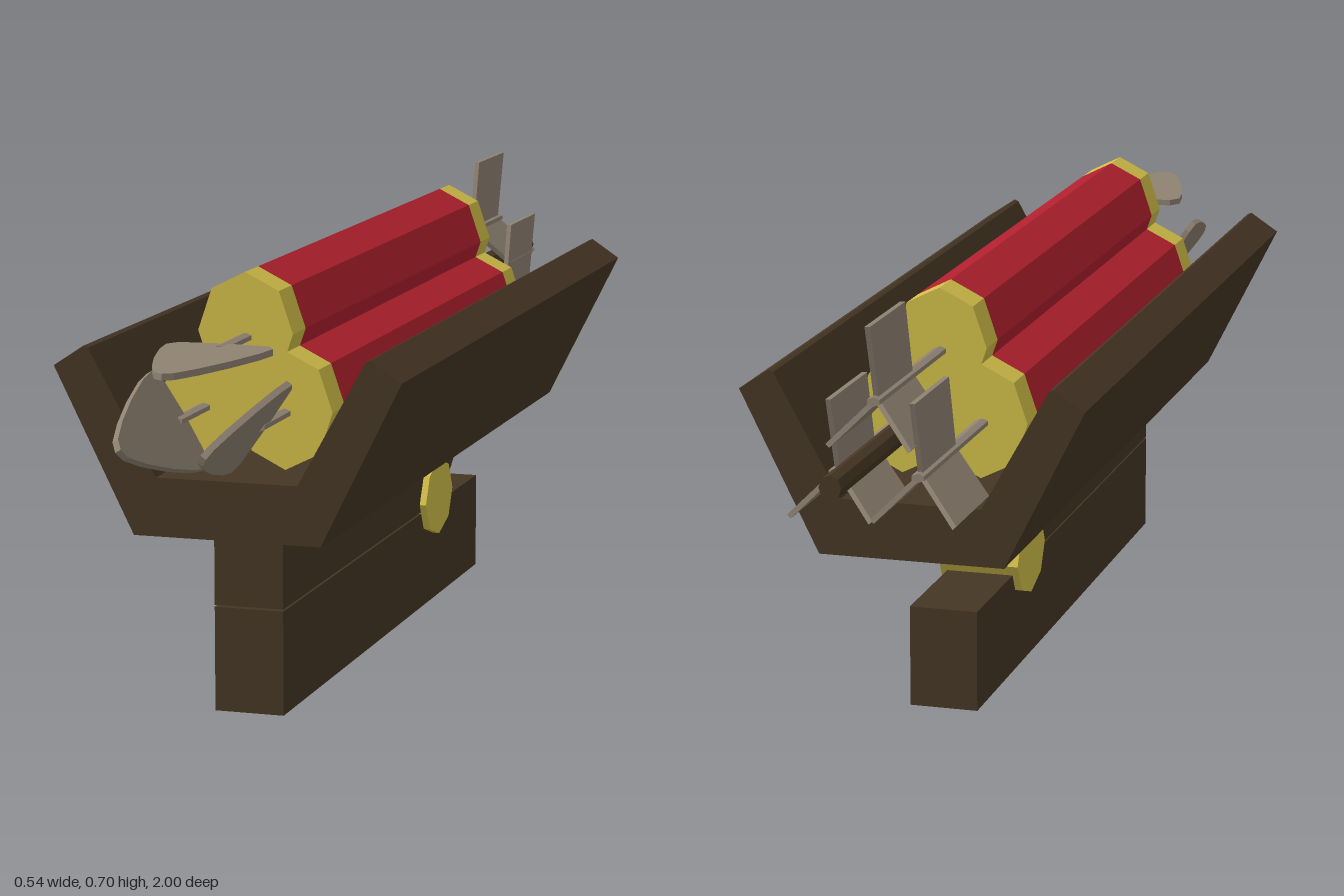
import * as THREE from 'three';

const flat = (name, color, side = THREE.FrontSide) =>
  Object.assign(new THREE.MeshStandardMaterial({ color, flatShading: true, side }), { name });

export function createModel() {
  const wood = flat('dark wood', 0x453624);
  const gold = flat('gold', 0xd0bd48);
  const red = flat('red', 0xb0202d);
  const steel = flat('dull steel', 0x8f8272);

  const model = new THREE.Group();
  model.name = 'dartLauncher';
  const add = (parent, name, geometry, material, x = 0, y = 0, z = 0) => {
    const mesh = new THREE.Mesh(geometry, material);
    mesh.name = name;
    mesh.position.set(x, y, z);
    parent.add(mesh);
    return mesh;
  };
  const extrude = (points, depth) => new THREE.ExtrudeGeometry(
    new THREE.Shape(points.map(([x, y]) => new THREE.Vector2(x, y))),
    { depth, bevelEnabled: false });
  // Elliptical prism lying along z, from z0 to z1
  const rod = (rx, ry, z0, z1, sides = 8) =>
    new THREE.CylinderGeometry(1, 1, z1 - z0, sides).rotateX(Math.PI / 2)
      .scale(rx, ry, 1).translate(0, 0, (z0 + z1) / 2);

  // V-shaped cradle
  const half = [[0.147, 0.29], [0.272, 0.542], [0.224, 0.574], [0.217, 0.571], [0.111, 0.38]];
  const mirrored = half.map(([x, y]) => [-x, y]).reverse();
  add(model, 'cradle', extrude([...half, ...mirrored], 1.355), wood, 0, 0, -0.625);

  // Stand: lower block, and upper block with a sloped back end
  add(model, 'standBase', new THREE.BoxGeometry(0.11, 0.163, 1.09), wood, 0, 0.0815, 0.085);
  const upper = [[-0.63, 0.166], [0.23, 0.166], [0.41, 0.29], [-0.63, 0.29]];
  add(model, 'standTop', extrude(upper, 0.11).rotateY(Math.PI / 2), wood, -0.055, 0, 0);

  // Pivot pin through the stand
  const pin = new THREE.CylinderGeometry(1, 1, 0.132, 8).rotateZ(Math.PI / 2).scale(1, 0.065, 0.082);
  add(model, 'pivotPin', pin, gold, 0, 0.18, -0.185);

  // Three charges with gold end caps
  for (const [x, y] of [[0, 0.591], [-0.065, 0.475], [0.062, 0.475]]) {
    const charge = new THREE.Group();
    charge.name = 'charge';
    charge.position.set(x, y, 0);
    add(charge, 'tube', rod(0.075, 0.091, -0.41, 0.577), red);
    add(charge, 'frontCap', rod(0.075, 0.091, 0.577, 0.638), gold);
    add(charge, 'backCap', rod(0.075, 0.091, -0.47, -0.41), gold);
    model.add(charge);
  }

  // Central fuse rod
  add(model, 'fuse', rod(0.017, 0.019, -1, -0.45), wood, 0, 0.507, 0);

  // Leaf-shaped blade outline: [half width, z]
  const edge = [[0.012, 0.73], [0.07, 0.735], [0.083, 0.755], [0.077, 0.8],
    [0.058, 0.875], [0.035, 0.945], [0.015, 0.99]];
  const bladePoints = [...edge, [0, 1], ...edge.map(([w, z]) => [-w, z]).reverse()];
  const bladeGeometry = extrude(bladePoints, 0.01).translate(0, 0, -0.005).rotateX(Math.PI / 2);

  // Swept fin, rooted on the shaft and pointing along (dx, dy)
  const fin = (dx, dy) => {
    const length = Math.hypot(dx, dy);
    return extrude([[0.62, 0], [0.785, 0], [0.825, length], [0.655, length]], 0.008)
      .translate(0, 0, -0.004).rotateY(Math.PI / 2)
      .rotateZ(Math.atan2(-dx, dy));
  };

  // Three darts: shaft, rolled blade and three tail fins each
  for (const [x, y, roll] of [[0, 0.583, 0], [-0.067, 0.473, -1.025], [0.061, 0.471, 0.965]]) {
    const dart = new THREE.Group();
    dart.name = 'dart';
    dart.position.set(x, y, 0);
    add(dart, 'shaft', rod(0.011, 0.007, -0.8, 0.76, 6), steel);
    add(dart, 'blade', bladeGeometry, steel).rotation.z = roll;
    for (const [dx, dy] of [[0, 0.118], [-0.063, -0.064], [0.063, -0.064]])
      add(dart, 'tailFin', fin(dx, dy), steel);
    model.add(dart);
  }
  return model;
}
